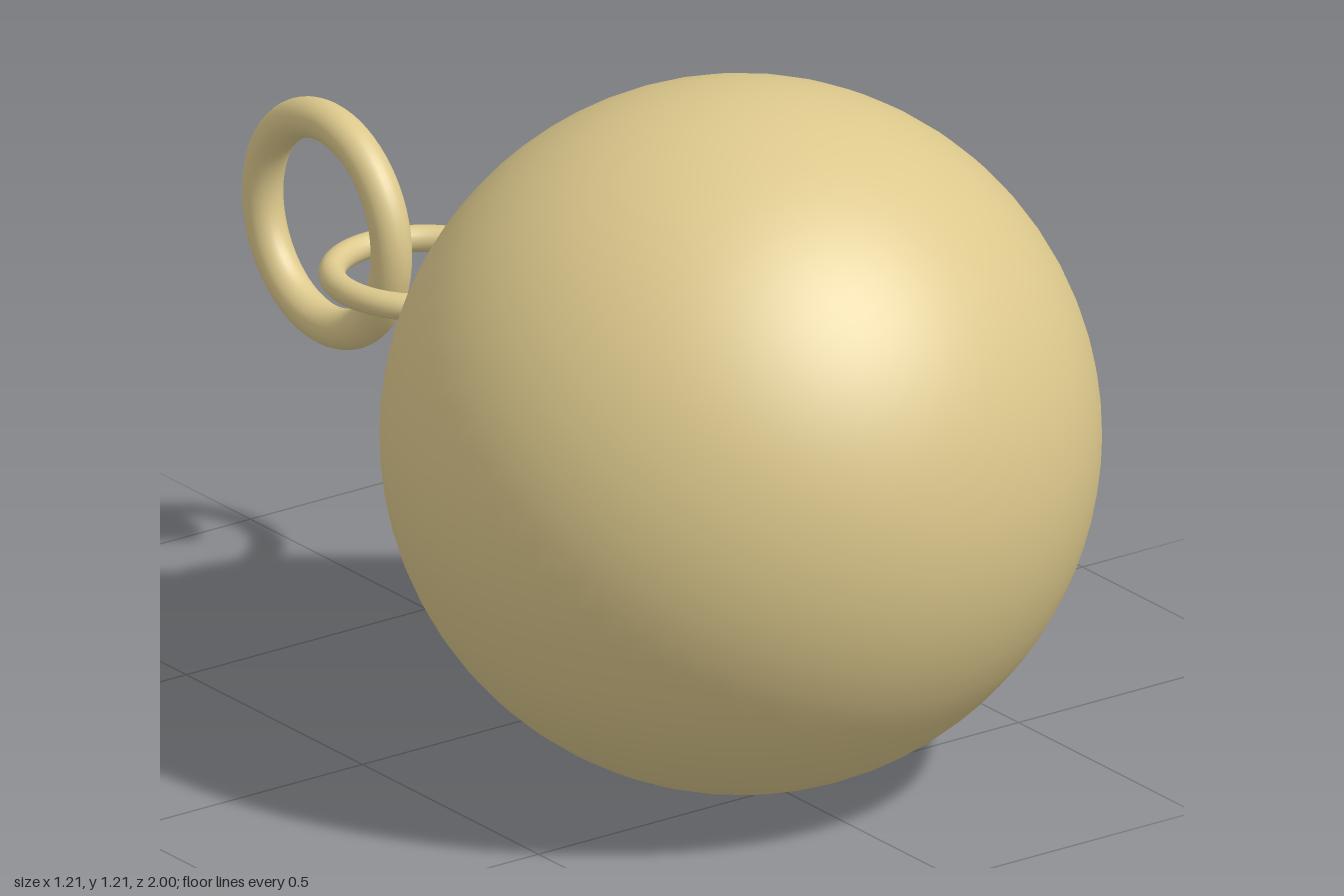
import * as THREE from 'three';

const Y = 0.61; // height of the common axis, which runs along z

export function createModel() {
  const group = new THREE.Group();
  const material = new THREE.MeshStandardMaterial({ color: 0xdcc88c });
  const add = (name, geometry, z) => {
    const mesh = new THREE.Mesh(geometry, material);
    mesh.name = name;
    mesh.position.set(0, Y, z);
    group.add(mesh);
    return mesh;
  };

  // Ball, with its poles on the z axis
  add('ball', new THREE.SphereGeometry(0.607, 64, 48).rotateX(-Math.PI / 2), 0.393);

  // Domed cap with a rounded rim: radius, distance behind the middle
  const capProfile = [
    [0, 0.15], [0.25, 0.163], [0.262, 0.166], [0.269, 0.174], [0.27, 0.184], [0.266, 0.192],
    [0.255, 0.2], [0.225, 0.216], [0.19, 0.234], [0.15, 0.25], [0.1, 0.264], [0.05, 0.27], [0, 0.272],
  ].map(([r, h]) => new THREE.Vector2(r, h));
  add('cap', new THREE.LatheGeometry(capProfile, 64).rotateX(-Math.PI / 2), 0);

  // Fixed eye lying flat, and the loose ring standing through it
  const eyeZ = -0.505, eyeR = 0.156;
  add('eye', new THREE.TorusGeometry(eyeR, 0.023, 20, 64).rotateX(Math.PI / 2), eyeZ);
  add('looseRing', new THREE.TorusGeometry(0.183, 0.035, 24, 64).rotateY(Math.PI / 2), -0.782);

  // Flat waisted neck, flared into the cap and following the curve of the eye
  const widths = new THREE.SplineCurve(
    [[0, 0.13], [0.12, 0.102], [0.3, 0.077], [0.5, 0.069], [0.7, 0.075], [1, 0.1]].map((p) => new THREE.Vector2(...p)));
  const heights = new THREE.SplineCurve(
    [[0, 0.04], [0.12, 0.03], [0.3, 0.02], [0.5, 0.018], [0.7, 0.019], [1, 0.021]].map((p) => new THREE.Vector2(...p)));
  const neck = new THREE.CylinderGeometry(1, 1, 1, 48, 20, true);
  const pos = neck.attributes.position;
  const squarish = (v) => Math.sign(v) * Math.abs(v) ** 0.6;
  for (let i = 0; i < pos.count; i++) {
    const u = 0.5 - pos.getY(i);
    const w = widths.getPoint(u), h = heights.getPoint(u);
    const x = squarish(pos.getX(i)) * w.y;
    const y = squarish(pos.getZ(i)) * h.y;
    const end = eyeZ + Math.sqrt(eyeR * eyeR - x * x);
    pos.setXYZ(i, x, y, THREE.MathUtils.lerp(-0.25, end, w.x));
  }
  neck.computeVertexNormals();
  add('neck', neck, 0);

  return group;
}
